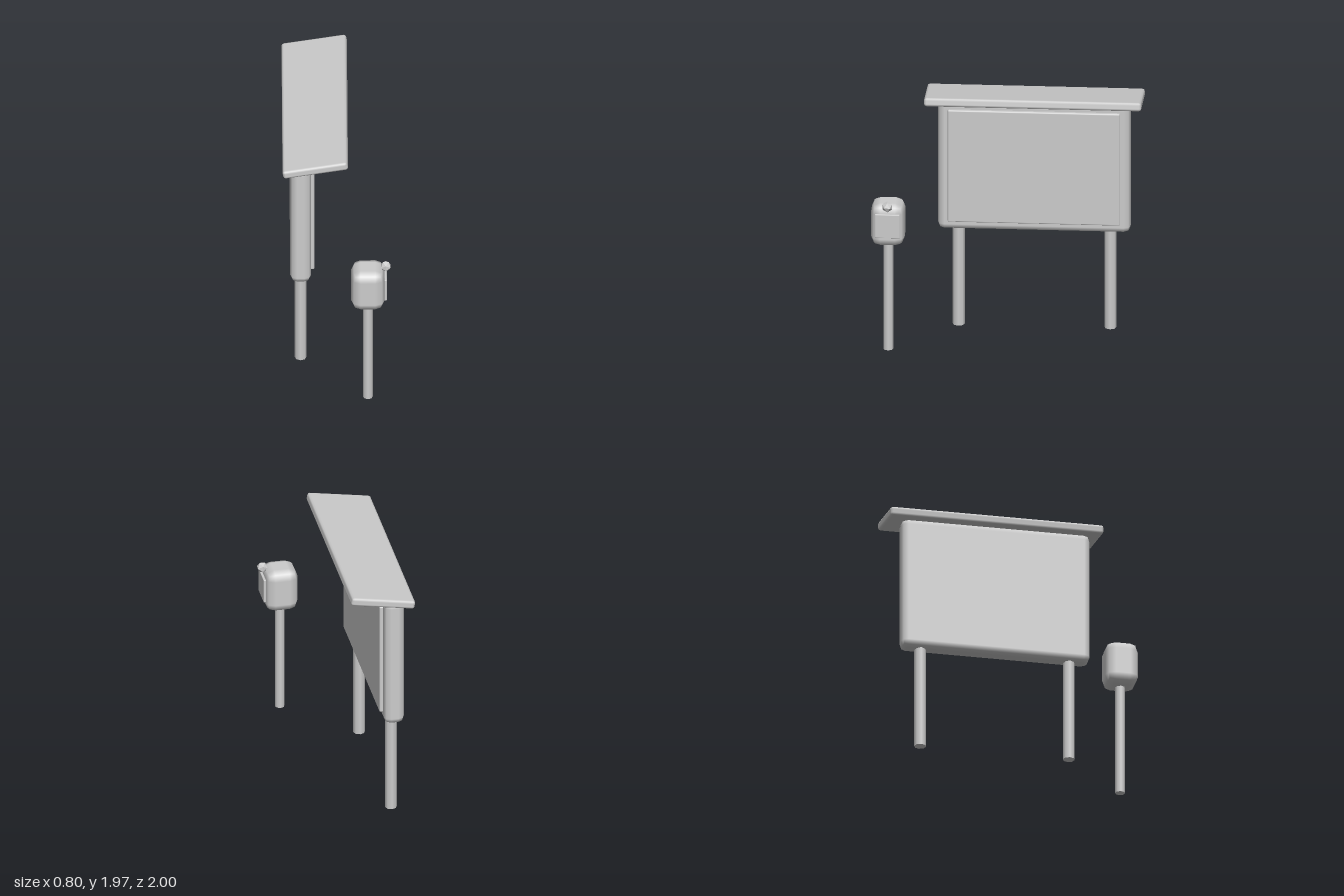
import * as THREE from 'three';
import { RoundedBoxGeometry } from 'three/addons/geometries/RoundedBoxGeometry.js';

export function createModel() {
  const model = new THREE.Group();
  const grey = new THREE.MeshStandardMaterial({ color: 0xcccccc });
  grey.name = 'plain grey';

  function add(parent, name, geometry, x, y, z) {
    const mesh = new THREE.Mesh(geometry, grey);
    mesh.name = name;
    mesh.position.set(x, y, z);
    parent.add(mesh);
    return mesh;
  }
  // Box with a softened, two-facet edge
  const softBox = (w, h, d, r) => new RoundedBoxGeometry(w, h, d, 1, r);
  // Eight-sided post standing on the ground
  function addPost(parent, name, radius, height, x, z) {
    add(parent, name, new THREE.CylinderGeometry(radius, radius, height, 8), x, height / 2, z);
  }

  // Notice board on two posts, facing +x
  const board = new THREE.Group();
  board.name = 'noticeBoard';
  model.add(board);
  add(board, 'boardFrame', softBox(0.155, 1.045, 1.435, 0.05), -0.268, 1.31, -0.185);
  add(board, 'noticePanel', softBox(0.05, 0.905, 1.285, 0.01), -0.19, 1.317, -0.185);
  for (const [name, z] of [['frontPost', 0.38], ['backPost', -0.75]]) {
    addPost(board, name, 0.045, 0.85, -0.268, z);
  }

  // Sloping roof over the board
  const roof = add(board, 'roof', softBox(0.49, 0.066, 1.62, 0.02), -0.16, 1.895, -0.19);
  roof.rotation.z = THREE.MathUtils.degToRad(10);

  // Small box on its own post, with a door plate and a knob
  const postBox = new THREE.Group();
  postBox.name = 'postBox';
  model.add(postBox);
  addPost(postBox, 'boxPost', 0.037, 0.92, 0.23, 0.875);
  add(postBox, 'boxBody', softBox(0.25, 0.34, 0.25, 0.07), 0.23, 1.035, 0.875);
  add(postBox, 'boxDoor', softBox(0.02, 0.19, 0.185, 0.005), 0.361, 1.05, 0.875);
  const knob = new THREE.IcosahedronGeometry(0.042, 0);
  add(postBox, 'knob', knob, 0.363, 1.208, 0.875);

  return model;
}
